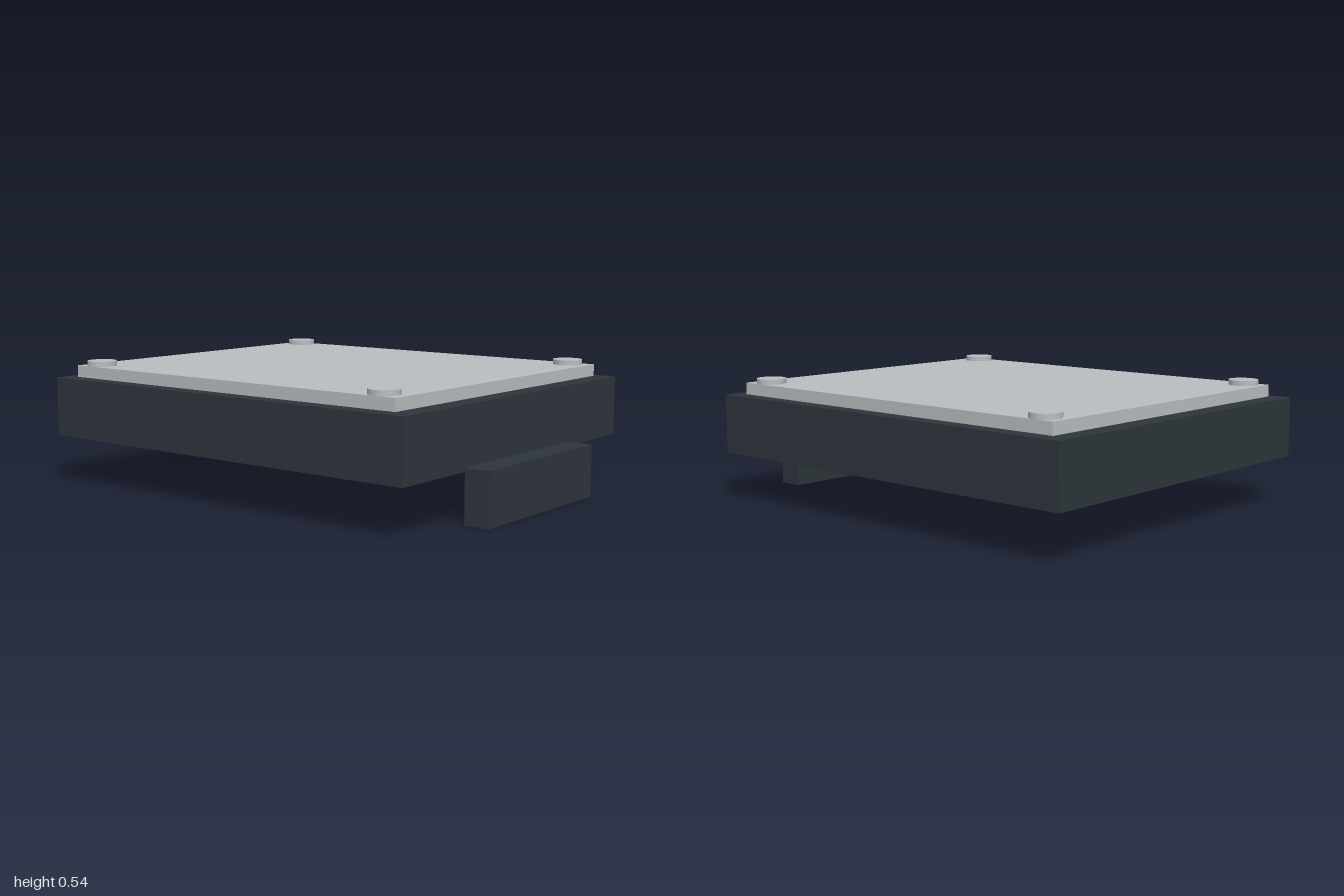
import * as THREE from 'three';

export function createModel() {
  const group = new THREE.Group();
  const dark = new THREE.MeshStandardMaterial({ color: 0x2d353b });
  dark.name = 'darkSlate';
  const grey = new THREE.MeshStandardMaterial({ color: 0xb9bec0 });
  grey.name = 'lightGrey';

  // Box given by its minimum and maximum corners
  const addBox = (name, material, [x0, y0, z0], [x1, y1, z1]) => {
    const mesh = new THREE.Mesh(new THREE.BoxGeometry(x1 - x0, y1 - y0, z1 - z0), material);
    mesh.position.set((x0 + x1) / 2, (y0 + y1) / 2, (z0 + z1) / 2);
    mesh.name = name;
    group.add(mesh);
  };

  // Housing, hanging front tab and cover plate
  addBox('housing', dark, [-0.786, 0.206, -1], [0.786, 0.463, 0.89]);
  addBox('frontTab', dark, [-0.39, 0, 0.89], [0.39, 0.222, 1]);
  addBox('coverPlate', grey, [-0.73, 0.466, -0.925], [0.73, 0.517, 0.815]);

  // Screw heads at the corners of the plate
  const screwGeometry = new THREE.CylinderGeometry(0.064, 0.064, 0.022, 32);
  for (const x of [-0.667, 0.667]) {
    for (const z of [-0.837, 0.718]) {
      const screw = new THREE.Mesh(screwGeometry, grey);
      screw.position.set(x, 0.528, z);
      screw.name = 'screwHead';
      group.add(screw);
    }
  }
  return group;
}
